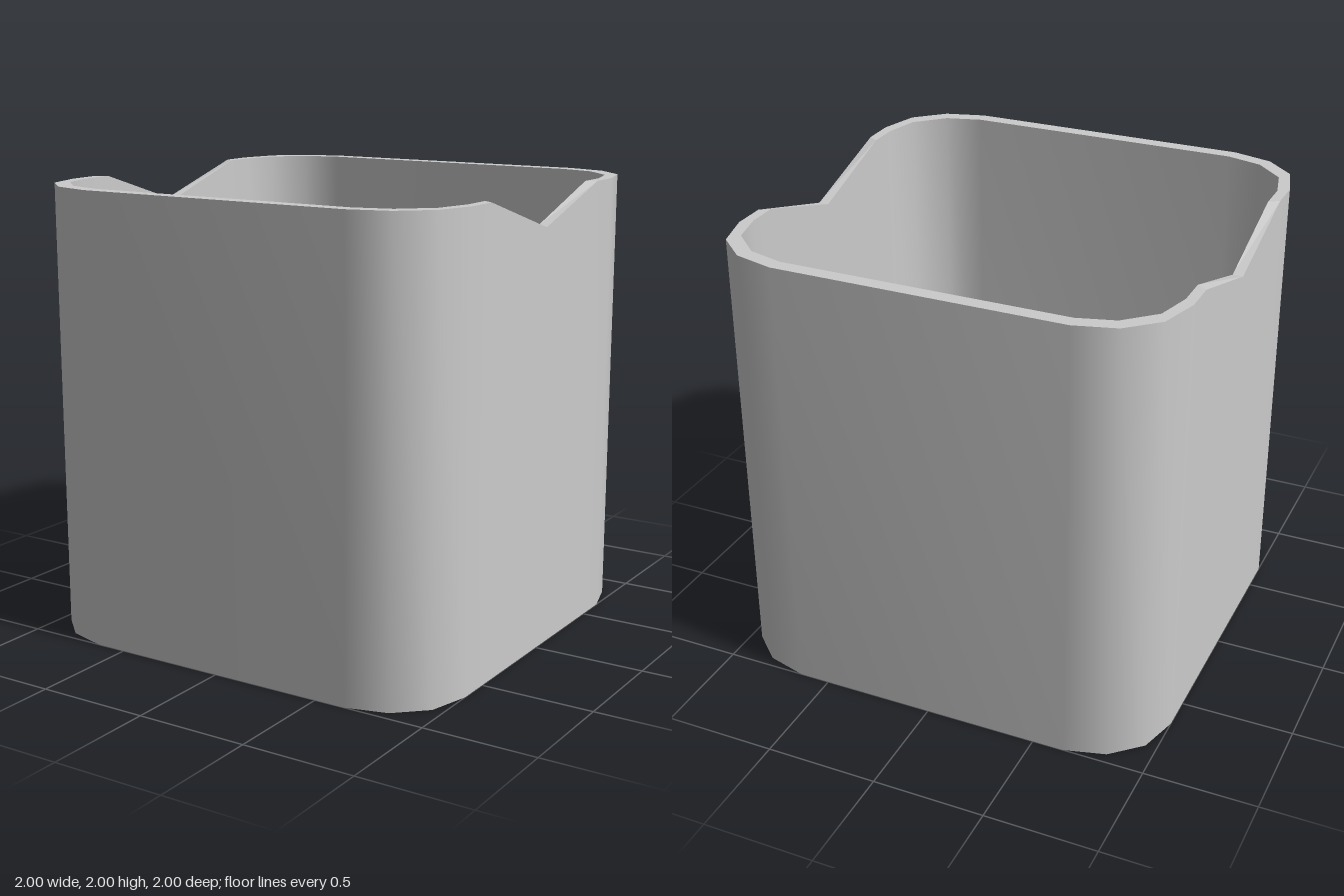
import * as THREE from 'three';

const material = new THREE.MeshStandardMaterial({ color: 0xcccccc, side: THREE.DoubleSide });
const NOTCH_Y = 1.85, TOP_Y = 2, FLOOR_Y = 0.06;

// One quarter of each outline [x, z], from the middle of the side to the front
const outerQuarter = [[1, 0], [1, 0.5], [1, 0.65], [0.95, 0.83], [0.82, 0.95], [0.64, 1]];
const innerQuarter = [[0.955, 0], [0.955, 0.47], [0.955, 0.61], [0.915, 0.77], [0.79, 0.89], [0.63, 0.935]];

// Mirror a quarter into a closed outline
function outline(q) {
  const half = [...q, ...q.slice().reverse().map(([x, z]) => [-x, z])];
  const back = half.slice(1, -1).reverse().map(([x, z]) => [x, -z]);
  return [...half, ...back];
}

// Place an outline at a height; the rim dips at the middle of each side
const atHeight = (ring, y) => ring.map(([x, z]) => [x, y, z]);
const atRim = (ring) => ring.map(([x, z]) => [x, z === 0 ? NOTCH_Y : TOP_Y, z]);

// Strip of quads joining two rings
function band(name, from, to, flat) {
  const n = from.length, index = [];
  for (let i = 0; i < n; i++) {
    const j = (i + 1) % n;
    index.push(i, n + i, n + j, i, n + j, j);
  }
  let geometry = new THREE.BufferGeometry();
  geometry.setAttribute('position', new THREE.Float32BufferAttribute([...from, ...to].flat(), 3));
  geometry.setIndex(index);
  if (flat) geometry = geometry.toNonIndexed();
  geometry.computeVertexNormals();
  const mesh = new THREE.Mesh(geometry, material);
  mesh.name = name;
  return mesh;
}

// Flat horizontal panel filling an outline
function panel(name, ring, y, up) {
  const shape = new THREE.Shape(ring.map(([x, z]) => new THREE.Vector2(x, z)));
  const geometry = new THREE.ShapeGeometry(shape).rotateX(up ? -Math.PI / 2 : Math.PI / 2);
  const mesh = new THREE.Mesh(geometry, material);
  mesh.position.y = y;
  mesh.name = name;
  return mesh;
}

export function createModel() {
  const outer = outline(outerQuarter), inner = outline(innerQuarter);
  const group = new THREE.Group();
  group.name = 'notchedContainer';
  group.add(
    band('outerWall', atHeight(outer, 0), atRim(outer), false),
    band('rim', atRim(outer), atRim(inner), true),
    band('innerWall', atRim(inner), atHeight(inner, FLOOR_Y), false),
    panel('innerFloor', inner, FLOOR_Y, true),
    panel('underside', outer, 0, false),
  );
  return group;
}
